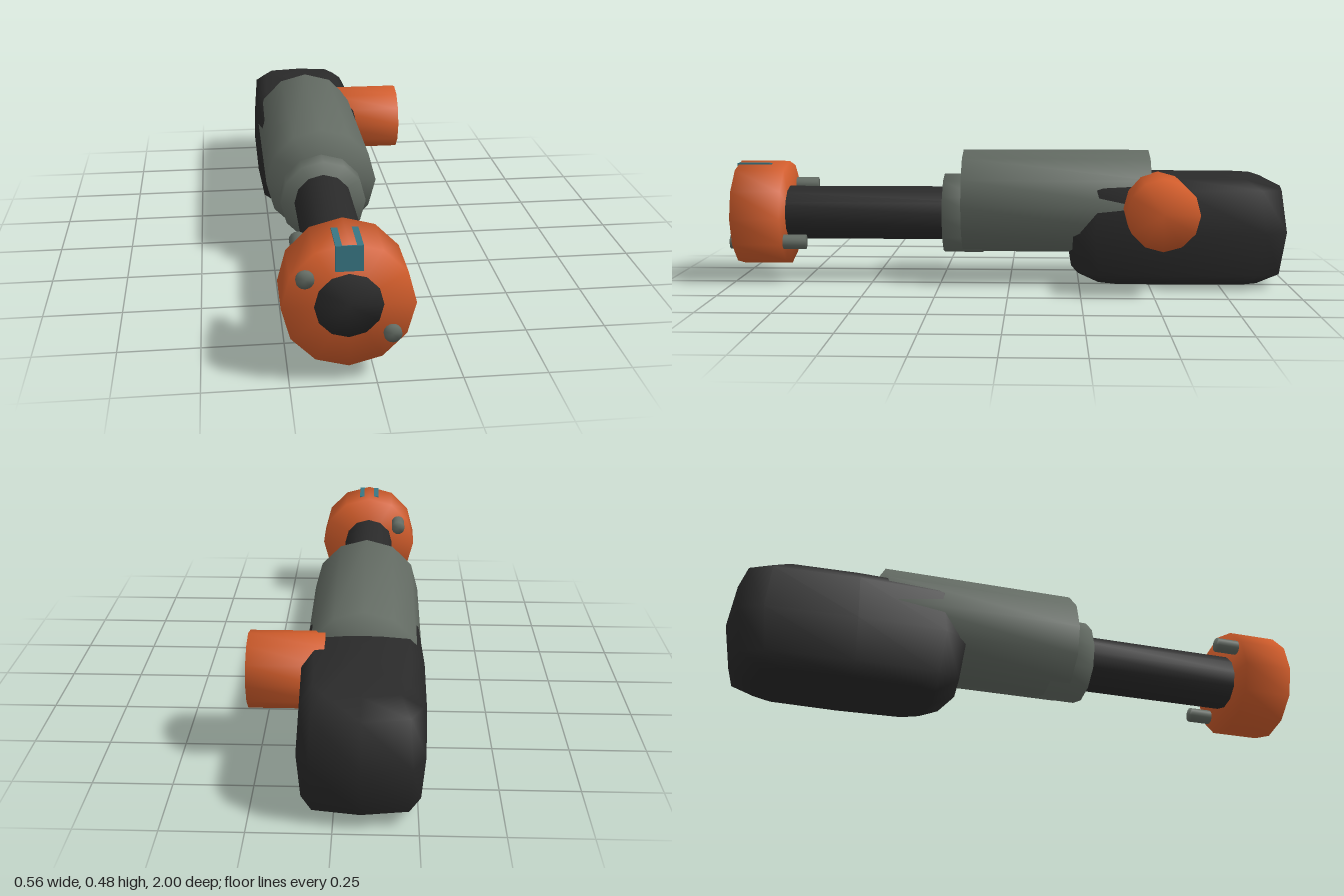
import * as THREE from 'three';
import { mergeVertices } from 'three/addons/utils/BufferGeometryUtils.js';

const mat = (name, color) => {
  const m = new THREE.MeshStandardMaterial({ color });
  m.name = name;
  return m;
};

// Shares normals across all edges for the soft, fully smoothed shading
function smooth(geometry) {
  geometry.deleteAttribute('normal');
  geometry.deleteAttribute('uv');
  const merged = mergeVertices(geometry, 1e-4);
  merged.computeVertexNormals();
  return merged;
}

export function createModel() {
  const orange = mat('orange', 0xd05c2b);
  const grey = mat('grey green', 0x636b63);
  const black = mat('charcoal', 0x2a2a2a);
  const teal = mat('teal', 0x387684);

  const model = new THREE.Group();
  const axisX = -0.08;
  const add = (name, geometry, material, x, y, z) => {
    const mesh = new THREE.Mesh(geometry, material);
    mesh.name = name;
    mesh.position.set(x, y, z);
    model.add(mesh);
    return mesh;
  };
  // Cylinder along z between two depths
  const rod = (name, material, x, y, r, z0, z1, sides = 12) => {
    const g = new THREE.CylinderGeometry(r, r, z1 - z0, sides).rotateX(Math.PI / 2);
    return add(name, smooth(g), material, x, y, (z0 + z1) / 2);
  };

  // Shaft, collar and barrel
  rod('shaft', black, axisX, 0.247, 0.098, 0.1, 0.989);
  rod('collar', grey, axisX, 0.247, 0.145, 0.1, 0.24);
  rod('barrel', grey, axisX, 0.293, 0.188, -0.5, 0.17);

  // Front head with two through pins and a sunken block
  rod('head', orange, axisX, 0.247, 0.19, 0.81, 0.987);
  for (const s of [-1, 1]) {
    rod('pin', grey, axisX + s * 0.123, 0.247 - s * 0.09, 0.026, 0.73, 1, 16);
  }
  add('sightBlock', new THREE.BoxGeometry(0.078, 0.077, 0.125), teal, axisX, 0.393, 0.929);

  // Rear housing: a sphere squared off into a rounded block
  const housing = new THREE.SphereGeometry(1, 12, 6);
  const p = housing.attributes.position;
  const square = (v) => Math.sign(v) * Math.pow(Math.abs(v), 0.42);
  for (let i = 0; i < p.count; i++) {
    p.setXYZ(i, 0.2 * square(p.getX(i)), 0.2 * square(p.getY(i)), 0.4 * square(p.getZ(i)));
  }
  add('rearHousing', smooth(housing), black, axisX, 0.203, -0.6);

  // Side knob
  const knob = new THREE.CylinderGeometry(0.123, 0.123, 0.24, 12).rotateZ(Math.PI / 2);
  add('sideKnob', smooth(knob), orange, 0.159, 0.292, -0.523);

  return model;
}
